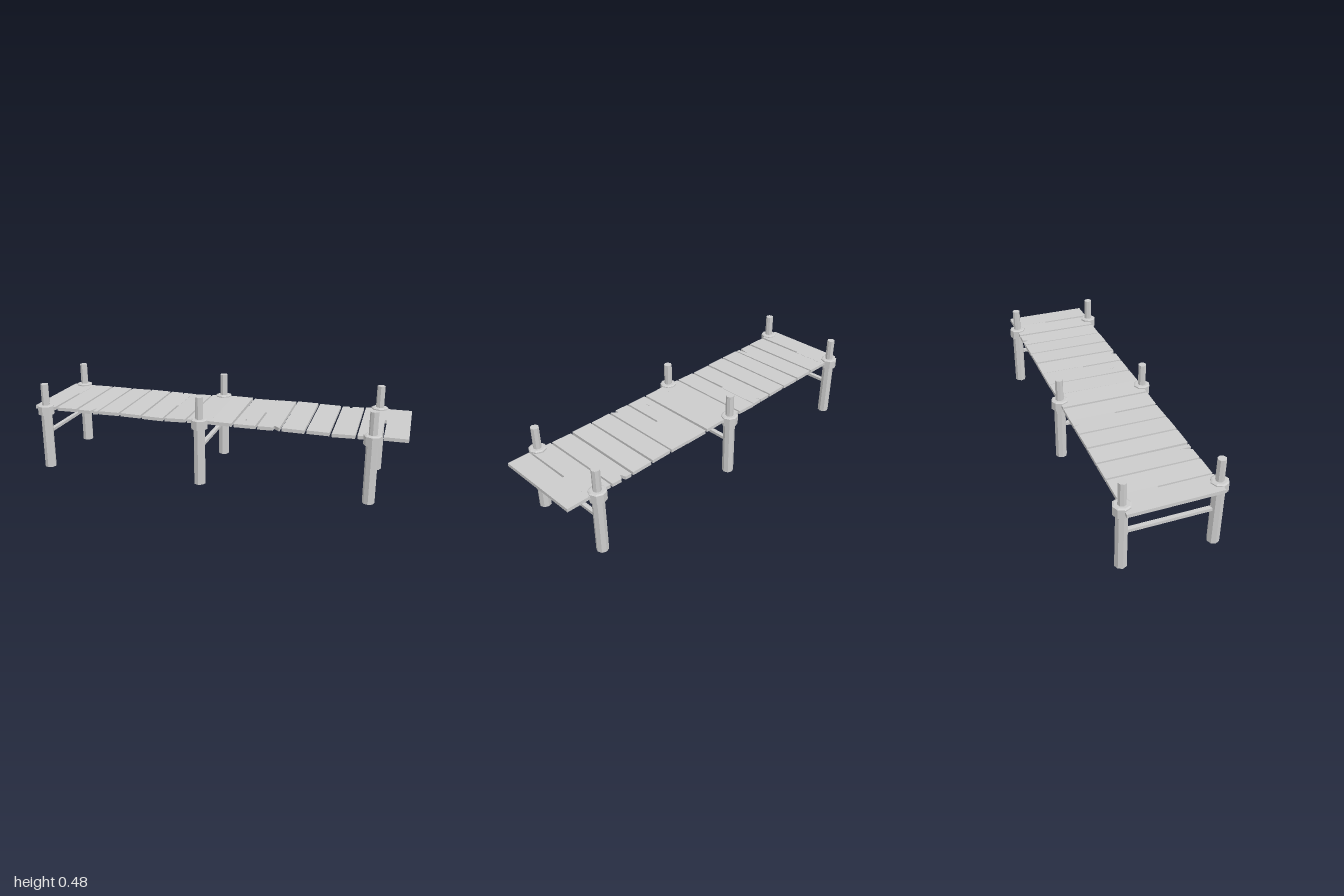
import * as THREE from 'three';

const mat = new THREE.MeshStandardMaterial({ color: 0xcccccc, flatShading: true });

function add(parent, name, geometry, x = 0, y = 0, z = 0) {
  const mesh = new THREE.Mesh(geometry, mat);
  mesh.name = name;
  mesh.position.set(x, y, z);
  parent.add(mesh);
  return mesh;
}

const lathe = (pts) =>
  new THREE.LatheGeometry(pts.map(([r, y]) => new THREE.Vector2(r, y)), 8);

// Octagonal post: thick below the collar, thin above
function makePost(x, z) {
  const post = new THREE.Group();
  post.name = 'post';
  add(post, 'postShaft', lathe([
    [0, 0], [0.031, 0.005], [0.031, 0.32], [0.0215, 0.33], [0.0215, 0.482], [0, 0.482],
  ]));
  add(post, 'postCollar', lathe([
    [0.025, 0.313], [0.045, 0.313], [0.045, 0.36], [0.036, 0.364], [0.018, 0.364],
  ]));
  post.position.set(x, 0, z);
  return post;
}

const PITCH = 0.125, GAP = 0.011, BACK = -0.237, FRONT = 0.233, THICK = 0.018;

// Planks whose right-hand gap only opens in front of the given z
const partGap = { 0: -0.04, 5: 0, 7: 0.233, 9: 0, 14: -0.04 };
// Broken chips in the plank ends: left x, tip x, right x, tip z
const frontChip = { 2: [-0.672, -0.655, -0.654, 0.175], 10: [0.335, 0.338, 0.366, 0.205] };
const backChip = { 5: [-0.305, -0.292, -0.297, -0.208], 13: [0.665, 0.675, 0.69, -0.208] };
// Height of each plank's top and its roll along x
const tops = [0.354, 0.353, 0.352, 0.353, 0.353, 0.350, 0.350, 0.354,
  0.355, 0.352, 0.353, 0.354, 0.352, 0.350, 0.353, 0.355];
const rolls = [0, 0.01, -0.01, 0.01, -0.02, -0.02, 0.03, 0.015,
  -0.01, 0, 0.01, -0.015, -0.015, 0.02, 0.01, 0];

function makePlank(i) {
  const left = -1 + i * PITCH + (i ? GAP / 2 : 0);
  const end = -1 + (i + 1) * PITCH;
  const right = i < 15 ? end - GAP / 2 : end;
  const cx = (left + right) / 2;
  const pts = [[left, BACK]];
  const b = backChip[i], f = frontChip[i], g = partGap[i];
  if (b) pts.push([b[0], BACK], [b[1], b[3]], [b[2], BACK]);
  if (g === undefined) pts.push([right, BACK]);
  else if (g >= FRONT) pts.push([end + GAP / 2, BACK], [end + GAP / 2, FRONT]);
  else pts.push([end + GAP / 2, BACK], [end + GAP / 2, g], [right, g]);
  if (!(g >= FRONT)) pts.push([right, FRONT]);
  if (f) pts.push([f[2], FRONT], [f[1], f[3]], [f[0], FRONT]);
  pts.push([left, FRONT]);

  const shape = new THREE.Shape(pts.map(([x, z]) => new THREE.Vector2(x - cx, z)));
  // Small split in one board
  if (i === 9) {
    shape.holes.push(new THREE.Path([[0.172, 0.13], [0.176, 0.165], [0.18, 0.16]]
      .map(([x, z]) => new THREE.Vector2(x - cx, z))));
  }
  const geo = new THREE.ExtrudeGeometry(shape, { depth: THICK, bevelEnabled: false });
  geo.rotateX(Math.PI / 2);
  return { geo, cx };
}

export function createModel() {
  const dock = new THREE.Group();
  dock.name = 'dock';

  // Three pairs of posts joined by cross beams
  for (const x of [-0.936, -0.052, 0.83]) {
    const frame = new THREE.Group();
    frame.name = 'supportFrame';
    for (const z of [-0.234, 0.234]) frame.add(makePost(x, z));
    add(frame, 'upperBeam', new THREE.BoxGeometry(0.03, 0.018, 0.42), x, 0.323, 0);
    add(frame, 'lowerBeam', new THREE.BoxGeometry(0.022, 0.016, 0.43), x, 0.206, 0);
    dock.add(frame);
  }

  // Uneven deck boards
  const deck = new THREE.Group();
  deck.name = 'deck';
  for (let i = 0; i < 16; i++) {
    const { geo, cx } = makePlank(i);
    const plank = add(deck, 'plank', geo, cx, tops[i], 0);
    plank.rotation.z = rolls[i];
    plank.rotation.x = 0.004 * ((i % 3) - 1);
  }
  dock.add(deck);
  return dock;
}
